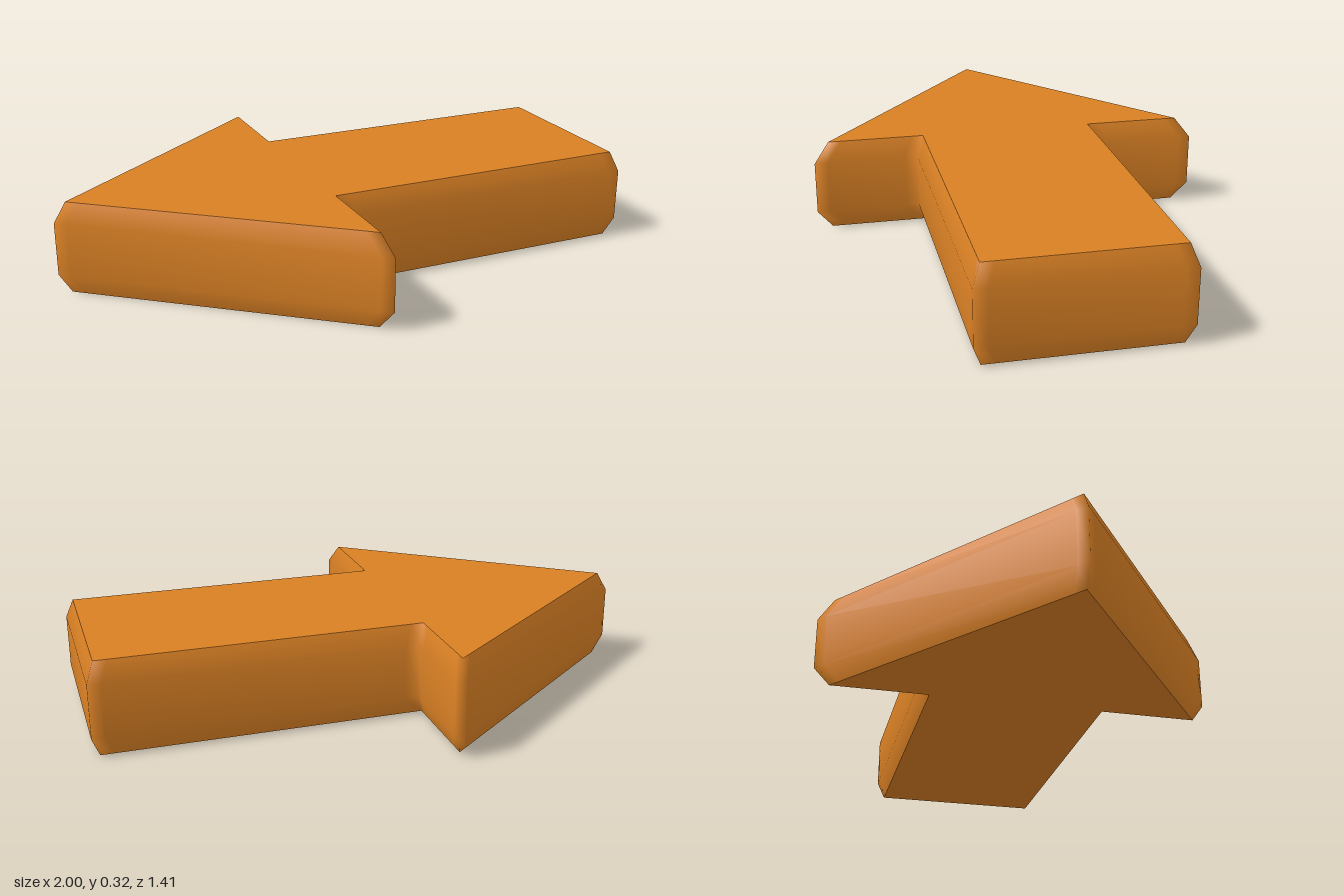
import * as THREE from 'three';

// Arrow outline as (x, z), pointing towards -x
const OUTLINE = [
  [-1, 0], [-0.1, -0.703], [-0.1, -0.335], [1, -0.335],
  [1, 0.335], [-0.1, 0.335], [-0.1, 0.703],
].map(([x, z]) => new THREE.Vector2(x, z));

// Move every edge of the outline inwards by d, with mitred corners
function inset(points, d) {
  const n = points.length;
  const inward = points.map((p, i) => {
    const e = points[(i + 1) % n].clone().sub(p).normalize();
    return new THREE.Vector2(-e.y, e.x);
  });
  return points.map((p, i) => {
    const a = inward[(i + n - 1) % n], b = inward[i];
    return a.clone().add(b).multiplyScalar(d / (1 + a.dot(b))).add(p);
  });
}

// Add a point on either side of each corner so the shading stays flat between corners
function supportCorners(points, gap) {
  return points.flatMap((p, i) => {
    const q = points[(i + 1) % points.length];
    const t = gap / p.distanceTo(q);
    return [p, p.clone().lerp(q, t), p.clone().lerp(q, 1 - t)];
  });
}

// Smooth wall through the stacked rings, with bevels at top and bottom
function wallGeometry(rings) {
  const positions = [], index = [];
  const n = rings[0].points.length;
  rings.forEach(({ points, y }) => points.forEach((p) => positions.push(p.x, y, p.y)));
  for (let r = 0; r < rings.length - 1; r++) {
    for (let j = 0; j < n; j++) {
      const a = r * n + j, b = r * n + (j + 1) % n;
      index.push(a, b + n, b, a, a + n, b + n);
    }
  }
  const geometry = new THREE.BufferGeometry();
  geometry.setAttribute('position', new THREE.Float32BufferAttribute(positions, 3));
  geometry.setIndex(index);
  geometry.computeVertexNormals();
  return geometry;
}

export function createModel() {
  const group = new THREE.Group();
  group.name = 'arrow';
  const orange = new THREE.MeshStandardMaterial({ color: 0xd98024 });
  orange.name = 'orange';

  const height = 0.325, bevel = 0.07;
  const inner = inset(OUTLINE, 0.026);
  const outerRing = supportCorners(OUTLINE, 0.045);
  const innerRing = supportCorners(inner, 0.045);

  const add = (name, geometry) => {
    const mesh = new THREE.Mesh(geometry, orange);
    mesh.name = name;
    group.add(mesh);
    return mesh;
  };

  add('bevelledSides', wallGeometry([
    { points: innerRing, y: 0 },
    { points: outerRing, y: bevel },
    { points: outerRing, y: height - bevel },
    { points: innerRing, y: height },
  ]));

  // Flat faces; the outline is symmetric in z, so both turns give the same shape
  const face = new THREE.Shape(inner);
  add('topFace', new THREE.ShapeGeometry(face).rotateX(-Math.PI / 2)).position.y = height;
  add('bottomFace', new THREE.ShapeGeometry(face).rotateX(Math.PI / 2));

  return group;
}
